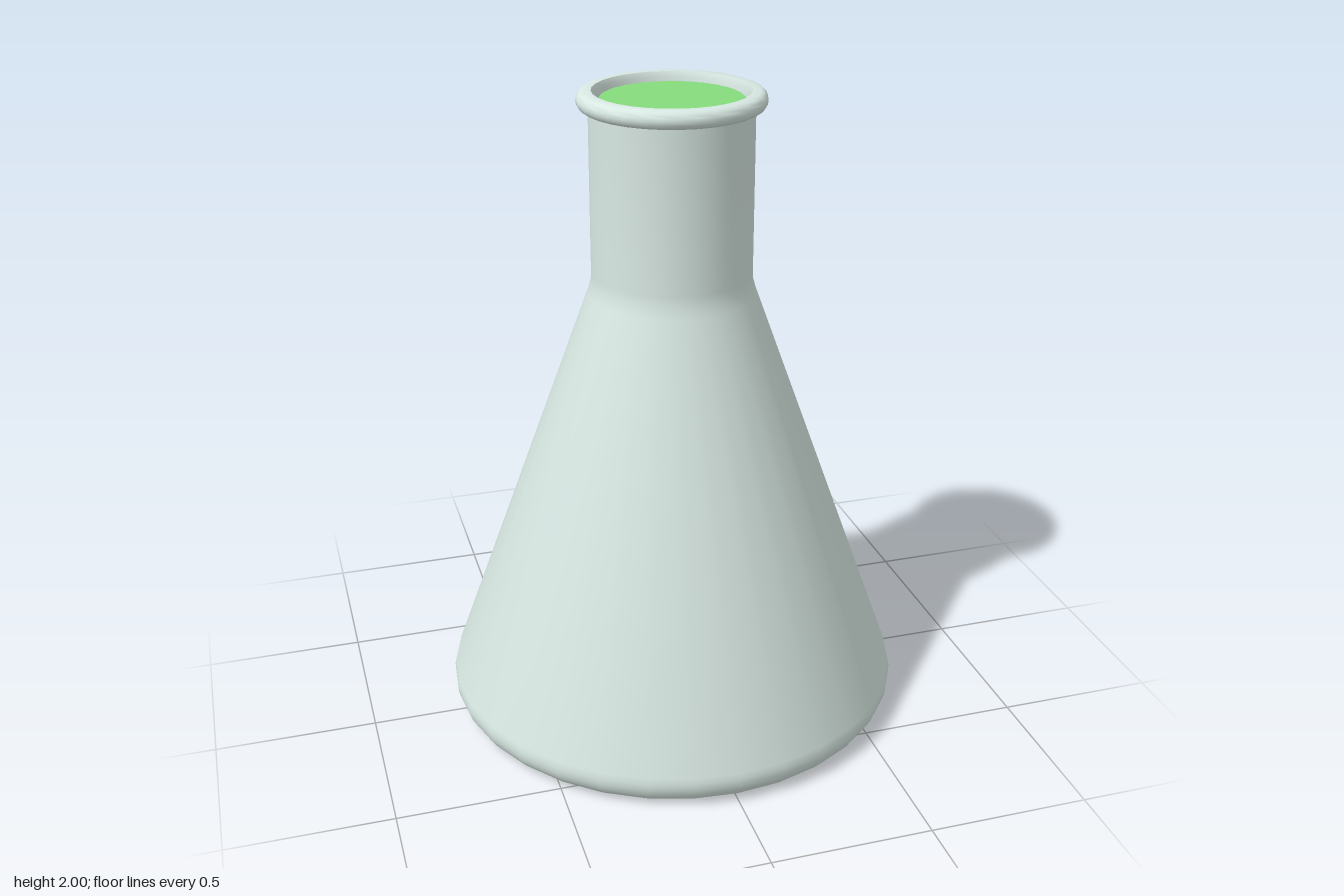
import * as THREE from 'three';
import { toCreasedNormals } from 'three/addons/utils/BufferGeometryUtils.js';

const SIDES = 32;

// Points of an arc in the profile plane, angles in degrees
function arc(cx, cy, rx, ry, from, to, steps) {
  return Array.from({ length: steps + 1 }, (_, i) => {
    const a = THREE.MathUtils.degToRad(from + ((to - from) * i) / steps);
    return [cx + rx * Math.cos(a), cy + ry * Math.sin(a)];
  });
}

// Round solid from a profile, running from the bottom centre up the outside
function turned(name, profile, color) {
  const points = profile.map(([r, y]) => new THREE.Vector2(Math.max(r, 0), y));
  const geometry = toCreasedNormals(new THREE.LatheGeometry(points, SIDES), 0.6);
  const material = new THREE.MeshStandardMaterial({ color });
  const mesh = new THREE.Mesh(geometry, material);
  mesh.name = name;
  return mesh;
}

export function createModel() {
  const group = new THREE.Group();
  group.name = 'conicalFlask';

  // Glass: flat bottom, rounded heel, cone, neck, beaded lip, inner wall
  const glass = [
    [0, 0],
    [0.64, 0],
    ...arc(0.645, 0.08, 0.08, 0.08, -80, 20, 7),
    [0.257, 1.385],
    [0.247, 1.42],
    [0.245, 1.45],
    [0.245, 1.945],
    ...arc(0.255, 1.973, 0.025, 0.027, -70, 80, 7),
    [0.235, 2.0],
    [0.228, 1.985],
    [0.225, 1.94],
    [0.225, 1.43],
    [0.7, 0.09],
    [0.62, 0.02],
    [0, 0.02],
  ];
  group.add(turned('glassFlask', glass, 0xd8e8e3));

  // Liquid filling the flask up to just below the lip
  const liquid = [
    [0, 0.025],
    [0.61, 0.025],
    [0.69, 0.1],
    [0.223, 1.42],
    [0.223, 1.955],
    [0.212, 1.975],
    [0, 1.975],
  ];
  group.add(turned('liquid', liquid, 0x86dc7e));

  return group;
}
